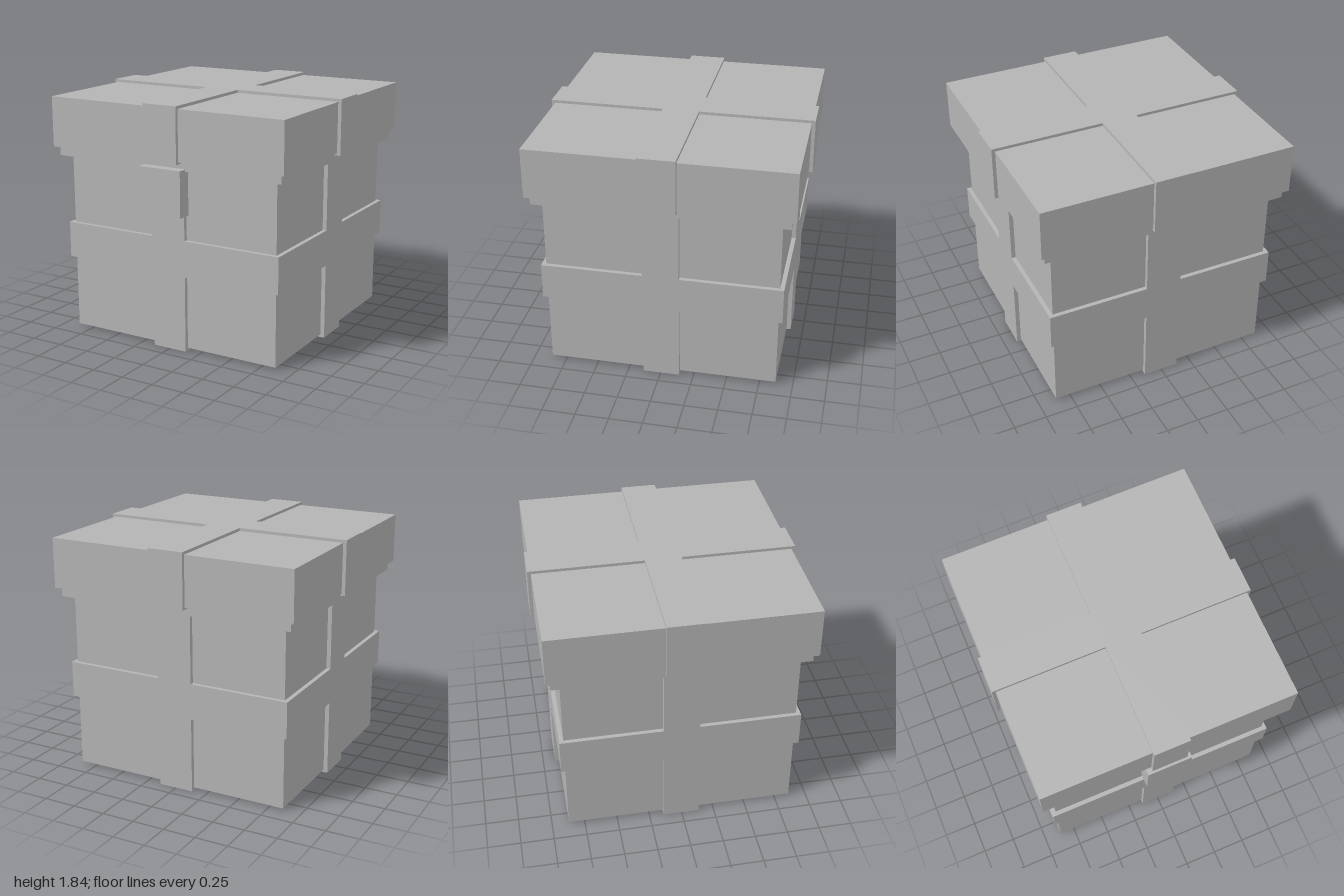
import * as THREE from 'three';

const CZ = -0.005; // box centre in z (the tag sticks out in front)
const RIBBON = 0.137; // half the ribbon width

export function createModel() {
  const group = new THREE.Group();
  group.name = 'giftBox';
  const grey = new THREE.MeshStandardMaterial({ color: 0xb4b4b4 });
  grey.name = 'plain grey';

  function add(name, geometry, x, y, z) {
    const mesh = new THREE.Mesh(geometry, grey);
    mesh.name = name;
    mesh.position.set(x, y, z);
    group.add(mesh);
  }

  // Square block between two heights
  function block(name, half, y0, y1) {
    add(name, new THREE.BoxGeometry(2 * half, y1 - y0, 2 * half), 0, (y0 + y1) / 2, CZ);
  }

  // Crossed ribbons: a plus shape extruded upwards
  function cross(name, half, y0, y1) {
    const r = RIBBON;
    const points = [
      [half, -r], [half, r], [r, r], [r, half], [-r, half], [-r, r],
      [-half, r], [-half, -r], [-r, -r], [-r, -half], [r, -half], [r, -r],
    ].map(([x, y]) => new THREE.Vector2(x, y));
    const geometry = new THREE.ExtrudeGeometry(new THREE.Shape(points), { depth: y1 - y0, bevelEnabled: false });
    geometry.rotateX(-Math.PI / 2);
    add(name, geometry, 0, y0, CZ);
  }

  // Box with its ribbons and the band around the middle
  block('boxBody', 0.867, 0.02, 1.4);
  cross('lowerRibbon', 0.899, 0, 0.575);
  block('middleBand', 0.899, 0.575, 0.849);
  cross('upperRibbon', 0.899, 0.849, 1.372);

  // Lid with a narrower lip underneath
  block('lidLip', 0.934, 1.372, 1.44);
  block('lid', 0.968, 1.44, 1.818);
  cross('lidRibbon', 0.995, 1.425, 1.84);

  // Tag on the front ribbon
  add('tag', new THREE.BoxGeometry(0.346, 0.344, 0.107), 0, 1.217, 0.9465);

  return group;
}
